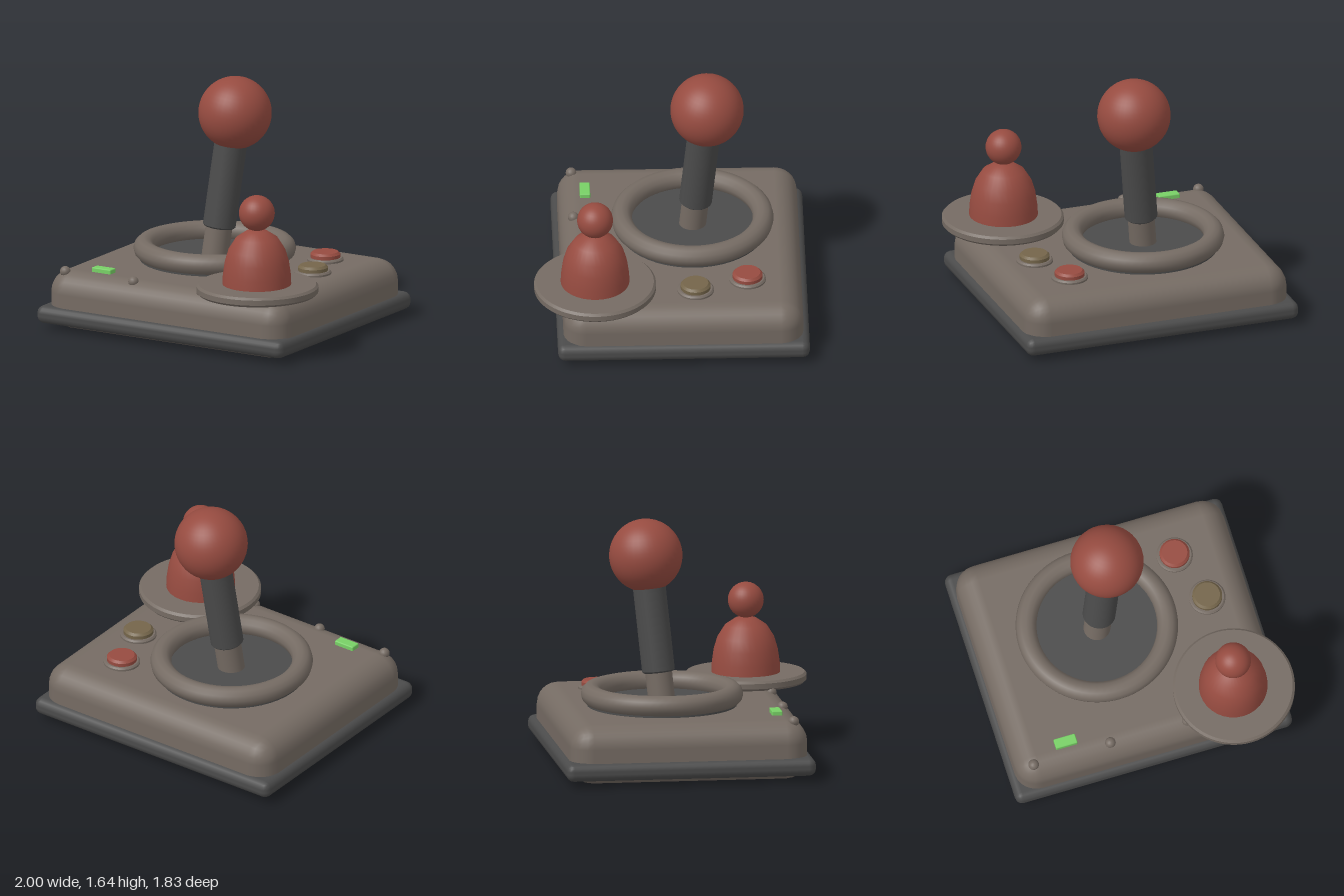
import * as THREE from 'three';
import { toCreasedNormals } from 'three/addons/utils/BufferGeometryUtils.js';
import { RoundedBoxGeometry } from 'three/addons/geometries/RoundedBoxGeometry.js';

const material = (name, color) => Object.assign(new THREE.MeshStandardMaterial({ color }), { name });

export function createModel() {
  const taupe = material('taupe plastic', 0x756b63);
  const dark = material('dark rubber', 0x4b4b4b);
  const red = material('red plastic', 0x964b40);
  const olive = material('olive plastic', 0x74654a);
  const green = material('green light', 0x78d066);

  const model = new THREE.Group();
  model.name = 'joystick';

  const add = (name, geometry, mat, x, y, z, parent = model) => {
    const mesh = new THREE.Mesh(geometry, mat);
    mesh.name = name;
    mesh.position.set(x, y, z);
    parent.add(mesh);
    return mesh;
  };

  // Disc or rod standing on its origin, with chamfered rims
  const disc = (r, h, bevel, sides = 48) => toCreasedNormals(new THREE.LatheGeometry([
    [0, 0], [r - bevel, 0], [r, bevel], [r, h - bevel], [r - bevel, h], [0, h],
  ].map(([x, y]) => new THREE.Vector2(x, y)), sides), 0.6);

  // Housing and the bumper around its foot
  add('housing', new RoundedBoxGeometry(1.86, 0.4, 1.6, 3, 0.15), taupe, -0.03, 0.2, -0.08);
  add('bumper', new RoundedBoxGeometry(1.93, 0.12, 1.68, 2, 0.05), dark, -0.035, 0.1, -0.08);

  // Stick well and its ring
  add('stickWell', disc(0.5, 0.05, 0.01), dark, -0.16, 0.38, -0.165);
  const ring = add('wellRing', new THREE.TorusGeometry(0.472, 0.07, 12, 64), taupe, -0.16, 0.475, -0.165);
  ring.rotation.x = Math.PI / 2;

  // Leaning stick, built upright and then tilted
  const stick = new THREE.Group();
  stick.name = 'stick';
  stick.position.set(-0.16, 0.41, -0.165);
  stick.quaternion.setFromUnitVectors(
    new THREE.Vector3(0, 1, 0), new THREE.Vector3(0.1, 0.985, -0.095).normalize());
  model.add(stick);
  add('stickShaft', disc(0.09, 0.3, 0.005, 32), taupe, 0, -0.02, 0, stick);
  add('stickGrip', disc(0.11, 0.68, 0.01, 32), dark, 0, 0.21, 0, stick);
  add('stickBall', new THREE.SphereGeometry(0.245, 40, 24), red, 0, 0.995, 0, stick);

  // Round plate with a domed knob
  add('knobPlate', disc(0.407, 0.065, 0.015, 64), taupe, 0.59, 0.405, 0.505);
  const dome = [[0, 0], [0.23, 0], [0.227, 0.07], [0.214, 0.16], [0.19, 0.24], [0.14, 0.32], [0.07, 0.367], [0, 0.38]];
  add('knobDome', toCreasedNormals(new THREE.LatheGeometry(
    dome.map(([x, y]) => new THREE.Vector2(x, y)), 32), 0.6), red, 0.585, 0.465, 0.505);
  add('knobBall', new THREE.SphereGeometry(0.12, 32, 20), red, 0.585, 0.955, 0.505);

  // Push buttons in collars
  for (const [name, mat, x, z] of [['redButton', red, 0.49, -0.515], ['oliveButton', olive, 0.61, -0.165]]) {
    add(name + 'Collar', disc(0.122, 0.04, 0.01), taupe, x, 0.382, z);
    add(name, disc(0.1, 0.07, 0.015), mat, x, 0.39, z);
  }

  // Indicator light
  add('indicatorLight', new RoundedBoxGeometry(0.15, 0.04, 0.07, 1, 0.008), green, -0.595, 0.41, 0.54);

  // Row of studs along the front edge
  for (let i = 0; i < 4; i++) {
    add('stud', new THREE.SphereGeometry(0.036, 16, 10), taupe, -0.843 + i * 0.535, 0.39, 0.625);
  }

  return model;
}
